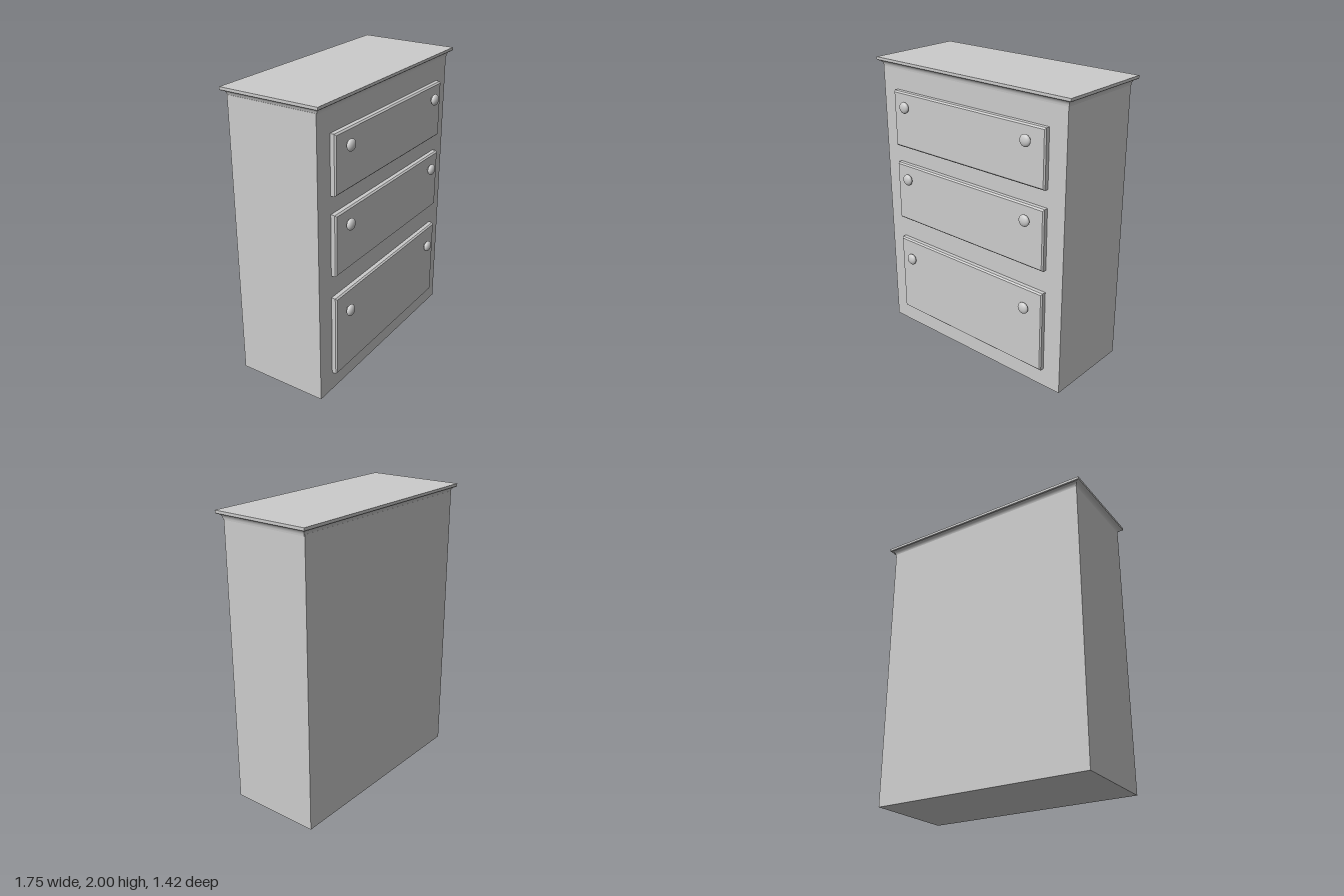
import * as THREE from 'three';
import { toCreasedNormals } from 'three/addons/utils/BufferGeometryUtils.js';

const material = new THREE.MeshStandardMaterial({ color: 0xcccccc });

function part(name, geometry, parent) {
  const mesh = new THREE.Mesh(geometry, material);
  mesh.name = name;
  parent.add(mesh);
  return mesh;
}

// Closed solid from rectangular rings [halfX, y, halfZ], listed upwards
function rectLoft(rings) {
  const pos = [], index = [];
  for (const [hx, y, hz] of rings) pos.push(-hx, y, hz, hx, y, hz, hx, y, -hz, -hx, y, -hz);
  const last = (rings.length - 1) * 4;
  for (let r = 0; r < last; r += 4) {
    for (let i = 0; i < 4; i++) {
      const a = r + i, b = r + (i + 1) % 4;
      index.push(a, b, b + 4, a, b + 4, a + 4);
    }
  }
  index.push(0, 2, 1, 0, 3, 2, last, last + 1, last + 2, last, last + 2, last + 3);
  const g = new THREE.BufferGeometry();
  g.setAttribute('position', new THREE.Float32BufferAttribute(pos, 3));
  g.setIndex(index);
  return toCreasedNormals(g, 0.6);
}

export function createModel() {
  const model = new THREE.Group();
  model.name = 'chestOfDrawers';
  const chest = new THREE.Group();
  chest.name = 'chest';
  chest.rotation.y = Math.PI / 6; // the chest stands turned by 30 degrees
  model.add(chest);

  // Carcass
  const hw = 0.774, hd = 0.321, cx = -0.0035, front = 0.319;
  const body = part('body', new THREE.BoxGeometry(hw * 2, 1.95, hd * 2), chest);
  body.position.set(cx, 0.975, -0.002);

  // Top board with a cove moulding underneath, overhanging all round
  const rings = [];
  for (let i = 0; i <= 8; i++) {
    const a = (i / 8) * Math.PI / 2;
    const out = 0.026 * (1 - Math.cos(a));
    rings.push([hw + out, 1.94 + 0.037 * Math.sin(a), hd + out]);
  }
  for (const [out, y] of [[0.03, 1.978], [0.034, 1.982], [0.034, 2]]) {
    rings.push([hw + out, y, hd + out - 0.003]);
  }
  part('topBoard', rectLoft(rings), chest);

  // Drawers: [name, bottom, top, knob height]
  const drawers = [
    ['upperDrawer', 1.409, 1.798, 1.703],
    ['middleDrawer', 0.867, 1.287, 1.19],
    ['lowerDrawer', 0.133, 0.709, 0.575],
  ];
  const halfX = 0.644;
  for (const [name, y0, y1, knobY] of drawers) {
    const drawer = new THREE.Group();
    drawer.name = name;
    chest.add(drawer);

    // Front panel with bevelled edges
    const hy = (y1 - y0) / 2;
    const panel = part('drawerFront', rectLoft([
      [halfX, -0.01, hy],
      [halfX, 0.028, hy],
      [halfX - 0.008, 0.038, hy - 0.01],
    ]).rotateX(Math.PI / 2), drawer);
    panel.position.set(cx, (y0 + y1) / 2, front);

    // Pair of flattened round knobs on short stems
    for (const side of [-1, 1]) {
      const x = -0.006 + side * 0.518;
      const knob = part('knob', new THREE.SphereGeometry(0.039, 24, 16), drawer);
      knob.scale.z = 0.54;
      knob.position.set(x, knobY, 0.383);
      const stem = part('knobStem', new THREE.CylinderGeometry(0.014, 0.014, 0.03, 16).rotateX(Math.PI / 2), drawer);
      stem.position.set(x, knobY, 0.365);
    }
  }
  return model;
}
